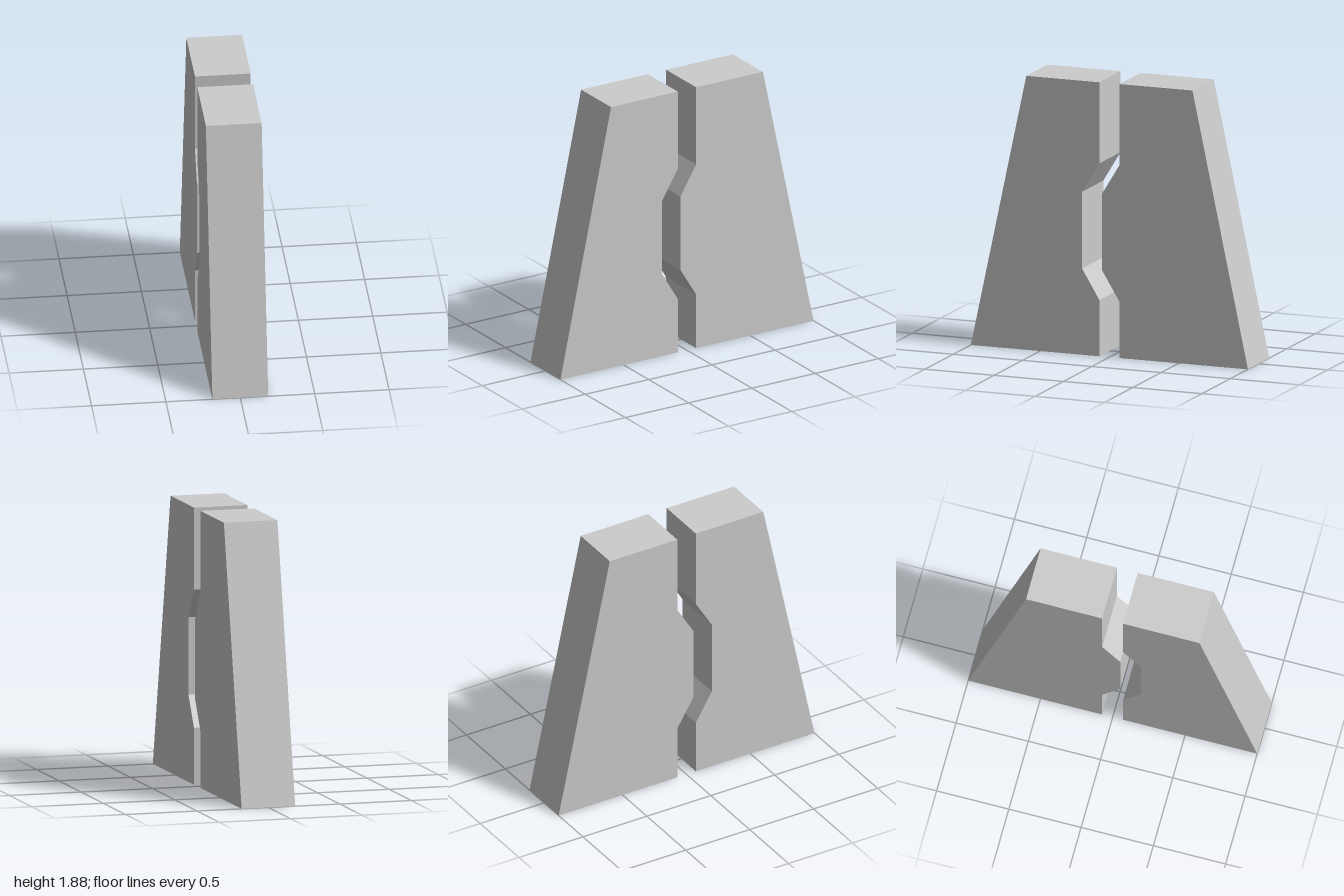
import * as THREE from 'three';

const WIDTH = 0.375, HEIGHT = 1.875, HALF_GAP = 0.0725, STEP = 0.125;

// Tapered slab: profile drawn in (z, y), extruded across x.
// side is +1 for the front slab, -1 for the back one; both joint faces step toward +z.
function slab(name, side, material) {
  const inner = side * HALF_GAP;
  const profile = [
    [side, 0], [side * 0.6, HEIGHT], [inner, HEIGHT],
    [inner, 1.32], [inner + STEP, 1.115], [inner + STEP, 0.59], [inner, 0.385],
    [inner, 0],
  ];
  const shape = new THREE.Shape(profile.map(([z, y]) => new THREE.Vector2(z, y)));
  const geometry = new THREE.ExtrudeGeometry(shape, { depth: WIDTH, bevelEnabled: false });
  geometry.translate(0, 0, -WIDTH / 2).rotateY(-Math.PI / 2);
  const mesh = new THREE.Mesh(geometry, material);
  mesh.name = name;
  return mesh;
}

export function createModel() {
  const group = new THREE.Group();
  group.name = 'splitTaperedBlock';
  const material = new THREE.MeshStandardMaterial({ color: 0xcccccc, flatShading: true });
  group.add(
    slab('frontNotchedSlab', 1, material),
    slab('backTonguedSlab', -1, material),
  );
  return group;
}
